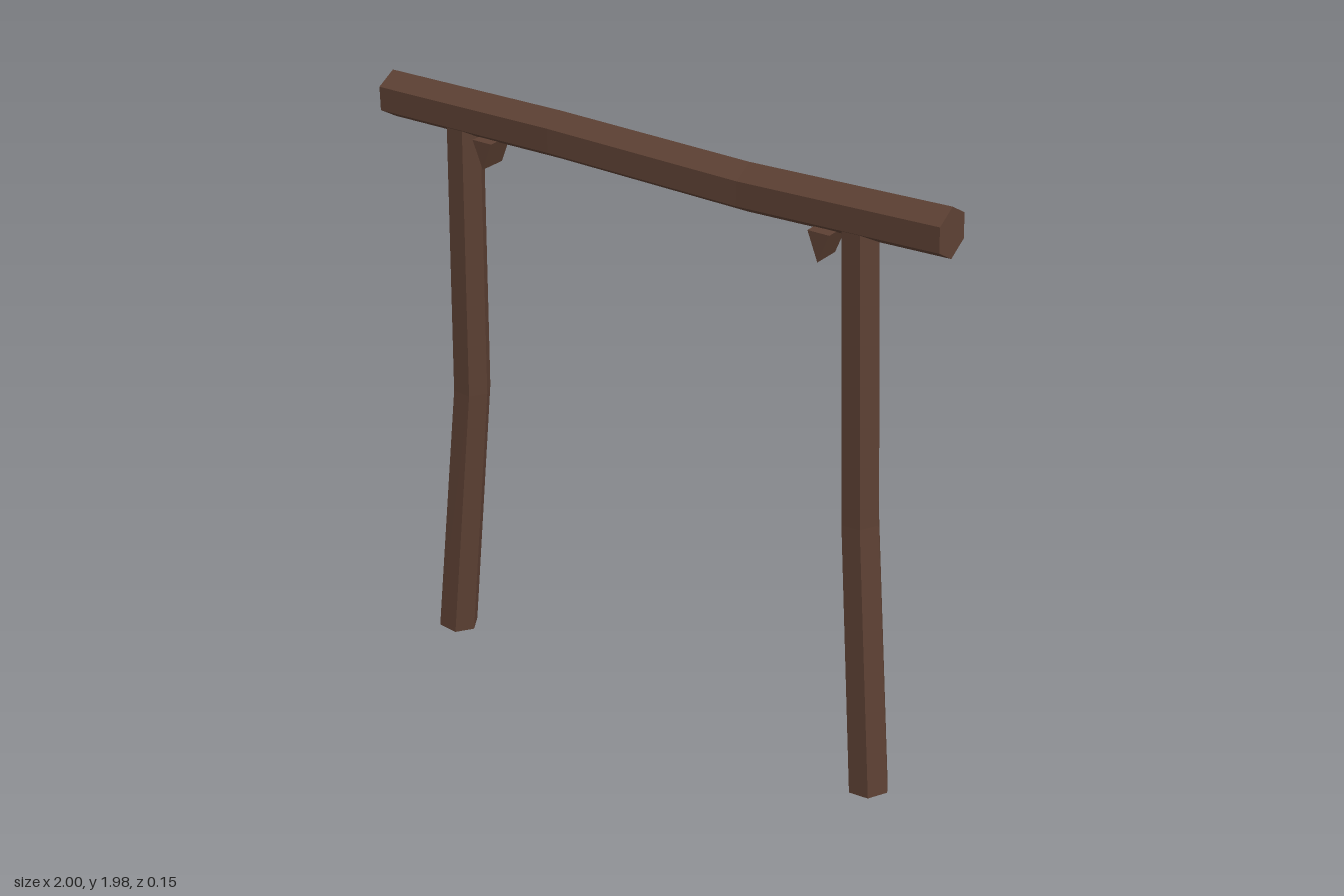
import * as THREE from 'three';

// Six-sided log swept along a path, with flat facets and closed ends.
// Each path entry is [x, y, z, radius]; "up" fixes the direction angles start from.
function hexLog(path, up, startAngle) {
  const centres = path.map(([x, y, z]) => new THREE.Vector3(x, y, z));
  const last = path.length - 1;
  const rings = centres.map((c, i) => {
    const t = centres[Math.min(i + 1, last)].clone().sub(centres[Math.max(i - 1, 0)]).normalize();
    const v = t.clone().cross(up).normalize();
    const u = v.clone().cross(t);
    return Array.from({ length: 6 }, (_, k) => {
      const a = startAngle + (k * Math.PI) / 3;
      return c.clone()
        .addScaledVector(u, path[i][3] * Math.cos(a))
        .addScaledVector(v, path[i][3] * Math.sin(a));
    });
  });
  const corners = [];
  for (let k = 0; k < 6; k++) {
    const n = (k + 1) % 6;
    for (let i = 0; i < last; i++) {
      const [a, b, c, d] = [rings[i][k], rings[i][n], rings[i + 1][n], rings[i + 1][k]];
      corners.push(a, b, c, a, c, d);
    }
    corners.push(centres[0], rings[0][n], rings[0][k]);
    corners.push(centres[last], rings[last][k], rings[last][n]);
  }
  const geometry = new THREE.BufferGeometry().setFromPoints(corners);
  geometry.computeVertexNormals();
  return geometry;
}

export function createModel() {
  const group = new THREE.Group();
  group.name = 'timberGateway';
  const wood = new THREE.MeshStandardMaterial({ color: 0x5c4033 });
  wood.name = 'darkWood';

  const add = (name, geometry) => {
    const mesh = new THREE.Mesh(geometry, wood);
    mesh.name = name;
    group.add(mesh);
    return mesh;
  };

  // Crooked crossbeam, ridge upward
  add('crossbeam', hexLog([
    [-0.999, 1.886, -0.002, 0.076],
    [-0.333, 1.896, 0.007, 0.076],
    [0.333, 1.88, -0.007, 0.076],
    [0.997, 1.903, -0.002, 0.076],
  ], new THREE.Vector3(0, 1, 0), 0));

  // Leaning, bent posts with a flat facet to the front
  for (const [name, side, midZ] of [['rightPost', -1, -0.024], ['leftPost', 1, -0.016]]) {
    add(name, hexLog([
      [side * 0.825, 0.006, 0, 0.068],
      [side * 0.744, 0.92, midZ, 0.063],
      [side * 0.711, 1.87, 0, 0.06],
    ], new THREE.Vector3(0, 0, 1), Math.PI / 6));
  }

  // Small wedges under the beam, just inside the posts
  const profile = new THREE.Shape([
    new THREE.Vector2(-0.036, 0.09),
    new THREE.Vector2(0, 0),
    new THREE.Vector2(0.036, 0.09),
  ]);
  const wedge = new THREE.ExtrudeGeometry(profile, { depth: 0.094, bevelEnabled: false });
  wedge.translate(0, 0, -0.047);
  for (const [name, x] of [['rightWedge', -0.608], ['leftWedge', 0.604]]) {
    add(name, wedge).position.set(x, 1.733, 0);
  }

  return group;
}
